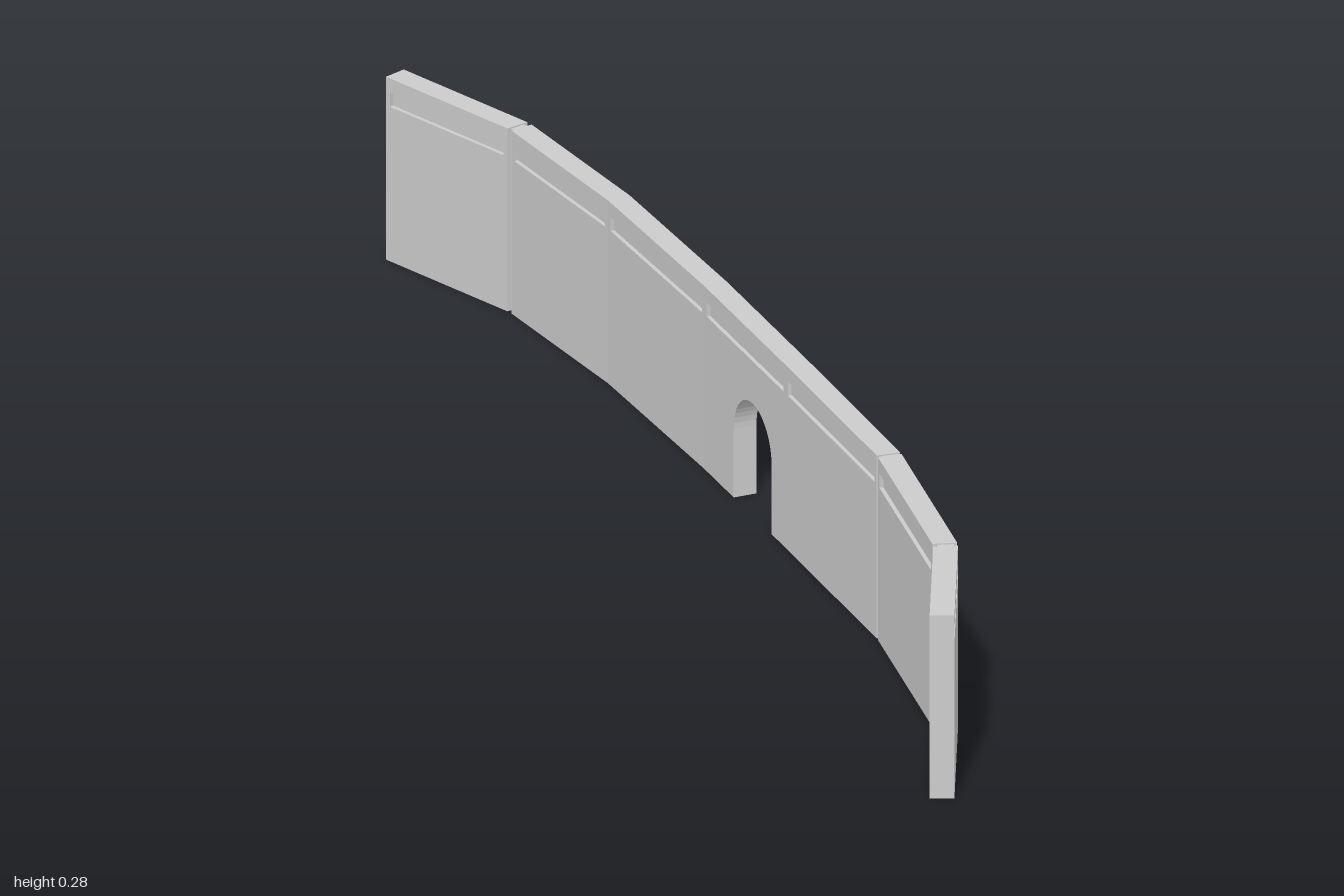
import * as THREE from 'three';

const mat = new THREE.MeshStandardMaterial({ color: 0xcccccc, flatShading: true });
const HALF = 0.0175;      // half the wall thickness
const INSET = 0.006;      // depth of grooves and joints
const BAND = 0.24, CAP = 0.262, TOP = 0.284;

// centre line of the wall in plan (x, z), from the front end to the back end
const path = [
  [-0.0775, 0.992], [0.0225, 0.775], [0.0705, 0.465], [0.0745, 0.13],
  [0.0755, -0.16], [0.066, -0.48], [0.034, -0.757], [-0.056, -0.992],
].map(([x, z]) => new THREE.Vector2(x, z));
const jointGap = [0, 0.005, 0.003, 0, 0, 0, 0.005, 0];   // open joint at each corner

// outward normal of each segment, and mitred normal at each corner
const normals = path.slice(1).map((p, i) => {
  const d = p.clone().sub(path[i]).normalize();
  return new THREE.Vector2(-d.y, d.x);
});
const mitre = path.map((_, i) => {
  const a = normals[Math.max(i - 1, 0)], b = normals[Math.min(i, normals.length - 1)];
  return a.clone().add(b).divideScalar(1 + a.dot(b));
});
const corner = (i, off) => path[i].clone().addScaledVector(mitre[i], off);

// upright block along segment i, from distance a to (length - b)
function block(name, i, a, b, half, y0, y1) {
  const len = path[i].distanceTo(path[i + 1]);
  const at = (t, off) => corner(i, off).lerp(corner(i + 1, off), t);
  const quad = [at(a / len, half), at(1 - b / len, half), at(1 - b / len, -half), at(a / len, -half)];
  const shape = new THREE.Shape(quad.map(p => new THREE.Vector2(p.x, -p.y)));
  const geo = new THREE.ExtrudeGeometry(shape, { depth: y1 - y0, bevelEnabled: false });
  geo.rotateX(-Math.PI / 2).translate(0, y0, 0);
  const mesh = new THREE.Mesh(geo, mat);
  mesh.name = name;
  return mesh;
}

// panel with the arched gateway cut out of its foot
function archPanel(i) {
  const [p, q] = [path[i], path[i + 1]];
  const mid = -0.0125, r = 0.0675, spring = 0.107;
  const s = new THREE.Shape();
  s.moveTo(-p.y, 0);
  s.lineTo(mid - r, 0);
  s.lineTo(mid - r, spring);
  s.absarc(mid, spring, r, Math.PI, 0, true);
  s.lineTo(mid + r, 0);
  s.lineTo(-q.y, 0);
  s.lineTo(-q.y, BAND);
  s.lineTo(-p.y, BAND);
  const geo = new THREE.ExtrudeGeometry(s, { depth: 2 * HALF, bevelEnabled: false, curveSegments: 12 });
  geo.rotateY(Math.PI / 2);
  // follow the slight slant of the centre line
  const pos = geo.attributes.position;
  for (let k = 0; k < pos.count; k++) {
    const t = (pos.getZ(k) - p.y) / (q.y - p.y);
    pos.setX(k, pos.getX(k) - HALF + THREE.MathUtils.lerp(p.x, q.x, t));
  }
  geo.computeVertexNormals();
  const mesh = new THREE.Mesh(geo, mat);
  mesh.name = 'archPanel';
  return mesh;
}

export function createModel() {
  const wall = new THREE.Group();
  wall.name = 'curvedWall';
  const STUB = 0.008;
  for (let i = 0; i < path.length - 1; i++) {
    const seg = new THREE.Group();
    seg.name = 'wallSegment' + (i + 1);
    const len = path[i].distanceTo(path[i + 1]);
    const a = jointGap[i], b = jointGap[i + 1];
    // main panel, recessed band and cap
    seg.add(i === 3 ? archPanel(i) : block('panel', i, a, b, HALF, 0, BAND));
    seg.add(block('recessedBand', i, a, b, HALF - INSET, BAND, CAP));
    seg.add(block('cap', i, a, b, HALF, CAP, TOP));
    // stubs closing the band at both ends
    seg.add(block('bandStub', i, a, len - a - STUB, HALF, BAND, CAP));
    seg.add(block('bandStub', i, len - b - STUB, b, HALF, BAND, CAP));
    // fillers set back inside the open joints
    if (a) seg.add(block('jointFiller', i, 0, len - a, HALF - INSET, 0, TOP - 0.002));
    if (b) seg.add(block('jointFiller', i, len - b, 0, HALF - INSET, 0, TOP - 0.002));
    wall.add(seg);
  }
  return wall;
}
